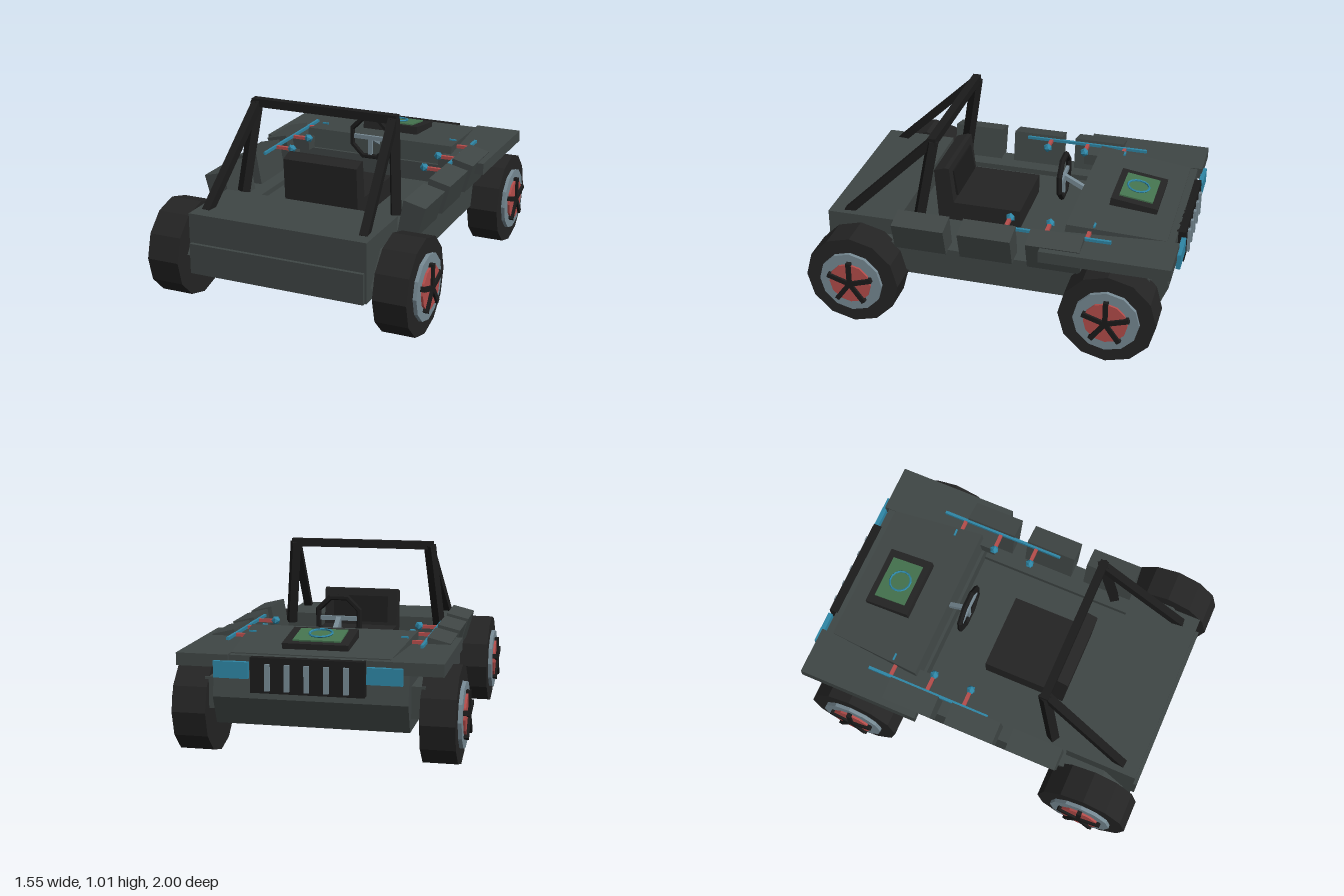
import * as THREE from 'three';
import { ConvexGeometry } from 'three/addons/geometries/ConvexGeometry.js';

const mat = (name, color) => {
  const m = new THREE.MeshStandardMaterial({ color });
  m.name = name;
  m.flatShading = true;
  return m;
};

export function createModel() {
  const paint = mat('bodyGrey', 0x3f4645);
  const rubber = mat('rubberBlack', 0x242424);
  const frame = mat('frameBlack', 0x1b1b1b);
  const steel = mat('steelGrey', 0x778a94);
  const red = mat('red', 0xb54d4b);
  const blue = mat('blue', 0x2e86a6);
  const green = mat('green', 0x467550);

  const car = new THREE.Group();
  car.name = 'buggy';

  const add = (name, geometry, material, x = 0, y = 0, z = 0, parent = car) => {
    const m = new THREE.Mesh(geometry, material);
    m.name = name;
    m.position.set(x, y, z);
    parent.add(m);
    return m;
  };
  // Box given by its limits on each axis
  const box = (name, material, [x0, x1], [y0, y1], [z0, z1], parent = car) =>
    add(name, new THREE.BoxGeometry(Math.abs(x1 - x0), y1 - y0, z1 - z0), material,
      (x0 + x1) / 2, (y0 + y1) / 2, (z0 + z1) / 2, parent);
  // Square bar between two points
  const bar = (name, material, a, b, t) => {
    const p = new THREE.Vector3(...a), q = new THREE.Vector3(...b);
    const m = add(name, new THREE.BoxGeometry(t, t, p.distanceTo(q)), material);
    m.position.copy(p).add(q).multiplyScalar(0.5);
    m.lookAt(q);
    return m;
  };
  // Profile of [z, y] points extruded across x0..x1
  const across = (name, material, pts, x0, x1) => {
    const shape = new THREE.Shape(pts.map(([z, y]) => new THREE.Vector2(-z, y)));
    const g = new THREE.ExtrudeGeometry(shape, { depth: x1 - x0, bevelEnabled: false });
    g.rotateY(Math.PI / 2);
    return add(name, g, material, x0);
  };
  const convex = (name, material, pts) =>
    add(name, new ConvexGeometry(pts.map(p => new THREE.Vector3(...p))), material);

  // Main hull with open cabin and raised rear deck
  across('hull', paint, [[0.95, 0.21], [0.95, 0.535], [0.55, 0.535], [0.55, 0.41], [-0.34, 0.41],
    [-0.34, 0.52], [-0.905, 0.52], [-0.94, 0.36], [-0.88, 0.21]], -0.5, 0.5);
  box('rearBumper', paint, [-0.49, 0.49], [0.21, 0.375], [0.94, 0.97]);
  box('nose', paint, [-0.41, 0.41], [0.5, 0.58], [-0.945, -0.88]);

  // Tapered, sloping hood
  const hood = [];
  for (const s of [-1, 1]) {
    hood.push([s * 0.41, 0.5, -0.905], [s * 0.41, 0.585, -0.905],
      [s * 0.455, 0.63, -0.375], [s * 0.455, 0.41, -0.34]);
  }
  convex('hood', paint, hood);

  // Hood display: tilted box, green plate and ring
  const display = new THREE.Group();
  display.name = 'hoodDisplay';
  display.position.set(0, 0.617, -0.68);
  display.rotation.x = -0.14;
  car.add(display);
  box('displayBox', rubber, [-0.172, 0.172], [-0.03, 0.025], [-0.13, 0.13], display);
  box('displayPlate', green, [-0.125, 0.125], [0.025, 0.033], [-0.093, 0.093], display);
  const ring = add('displayRing', new THREE.TorusGeometry(0.06, 0.006, 5, 14), blue, 0, 0.038, 0.01, display);
  ring.rotation.x = Math.PI / 2;

  // Grille with bars, and head lamps
  box('grille', frame, [-0.29, 0.29], [0.4, 0.58], [-0.985, -0.935]);
  for (let i = -2; i <= 2; i++) {
    box('grilleBar', steel, [i * 0.1 - 0.013, i * 0.1 + 0.013], [0.415, 0.55], [-1, -0.98]);
  }

  for (const s of [-1, 1]) {
    const X = (a, b) => (s > 0 ? [a, b] : [-b, -a]);
    box('headLamp', blue, X(0.3, 0.48), [0.47, 0.555], [-0.99, -0.965]);
    box('frontFender', paint, X(0.41, 0.68), [0.52, 0.585], [-0.97, -0.28]);

    // Side sill
    across('sill', paint, [[0.9, 0.275], [0.78, 0.44], [-0.85, 0.44], [-0.85, 0.275]], ...X(0.41, 0.57));

    // Three slanted side panels
    for (const z of [-0.49, -0.12, 0.245]) {
      const shape = new THREE.Shape([[0.49, 0.43], [0.6, 0.43], [0.645, 0.59], [0.523, 0.62]]
        .map(([x, y]) => new THREE.Vector2(s * x, y)));
      add('sidePanel', new THREE.ExtrudeGeometry(shape, { depth: 0.288, bevelEnabled: false }), paint, 0, 0, z);
    }

    // Control rods along the side panels
    box('sideRod', blue, X(0.507, 0.523), [0.588, 0.604], [-0.63, 0.085]);
    for (const z of [-0.5, -0.28, -0.06]) {
      const front = z < -0.4;
      box('crossRod', red, X(front ? 0.445 : 0.41, 0.51), [0.585, 0.603], [z - 0.01, z + 0.01]);
      if (front) box('rodTip', blue, X(0.39, 0.43), [0.594, 0.626], [z - 0.025, z - 0.015]);
      else add('rodKnob', new THREE.IcosahedronGeometry(0.026, 0), blue, s * 0.41, 0.597, z);
    }

    // Roll cage legs
    bar('rollBarPost', frame, [s * 0.4, 0.995, 0.365], [s * 0.45, 0.5, 0.45], 0.05);
    bar('rollBarBrace', frame, [s * 0.395, 0.99, 0.37], [s * 0.445, 0.52, 0.855], 0.045);

    // Wheels
    for (const z of [-0.66, 0.74]) {
      const wheel = new THREE.Group();
      wheel.name = 'wheel';
      wheel.position.set(0, 0.262, z);
      car.add(wheel);
      const disc = (name, m, r, x0, x1, n) => {
        const g = new THREE.CylinderGeometry(r, r, x1 - x0, n);
        g.rotateZ(Math.PI / 2);
        add(name, g, m, s * (x0 + x1) / 2, 0, 0, wheel);
      };
      disc('tyre', rubber, 0.26, 0.55, 0.73, 12);
      disc('rim', steel, 0.176, 0.72, 0.75, 12);
      disc('hubCap', red, 0.117, 0.74, 0.762, 12);
      for (let i = 0; i < 5; i++) {
        const g = new THREE.BoxGeometry(0.03, 0.13, 0.026);
        g.translate(s * 0.76, 0.065, 0);
        g.rotateX(i * Math.PI * 2 / 5);
        add('spoke', g, frame, 0, 0, 0, wheel);
      }
    }
  }
  box('rollBarTop', frame, [-0.42, 0.42], [0.97, 1.015], [0.345, 0.39]);

  // Seat
  box('seatCushion', rubber, [-0.215, 0.215], [0.4, 0.52], [-0.06, 0.34]);
  across('seatBack', rubber, [[0.31, 0.41], [0.41, 0.41], [0.43, 0.71], [0.37, 0.73], [0.345, 0.73]], -0.215, 0.215);
  across('seatPad', frame, [[0.31, 0.54], [0.335, 0.54], [0.345, 0.69], [0.333, 0.69]], -0.16, 0.16);

  // Steering wheel with column and spokes
  const wheelRim = add('steeringWheel', new THREE.TorusGeometry(0.122, 0.016, 6, 8), frame, 0, 0.66, -0.255);
  wheelRim.rotation.z = Math.PI / 8;
  bar('steeringColumn', steel, [0, 0.6, -0.37], [0, 0.66, -0.255], 0.026);
  box('steeringSpokes', steel, [-0.11, 0.11], [0.648, 0.672], [-0.263, -0.247]);
  box('steeringSpokeLower', steel, [-0.012, 0.012], [0.55, 0.66], [-0.263, -0.247]);

  return car;
}
